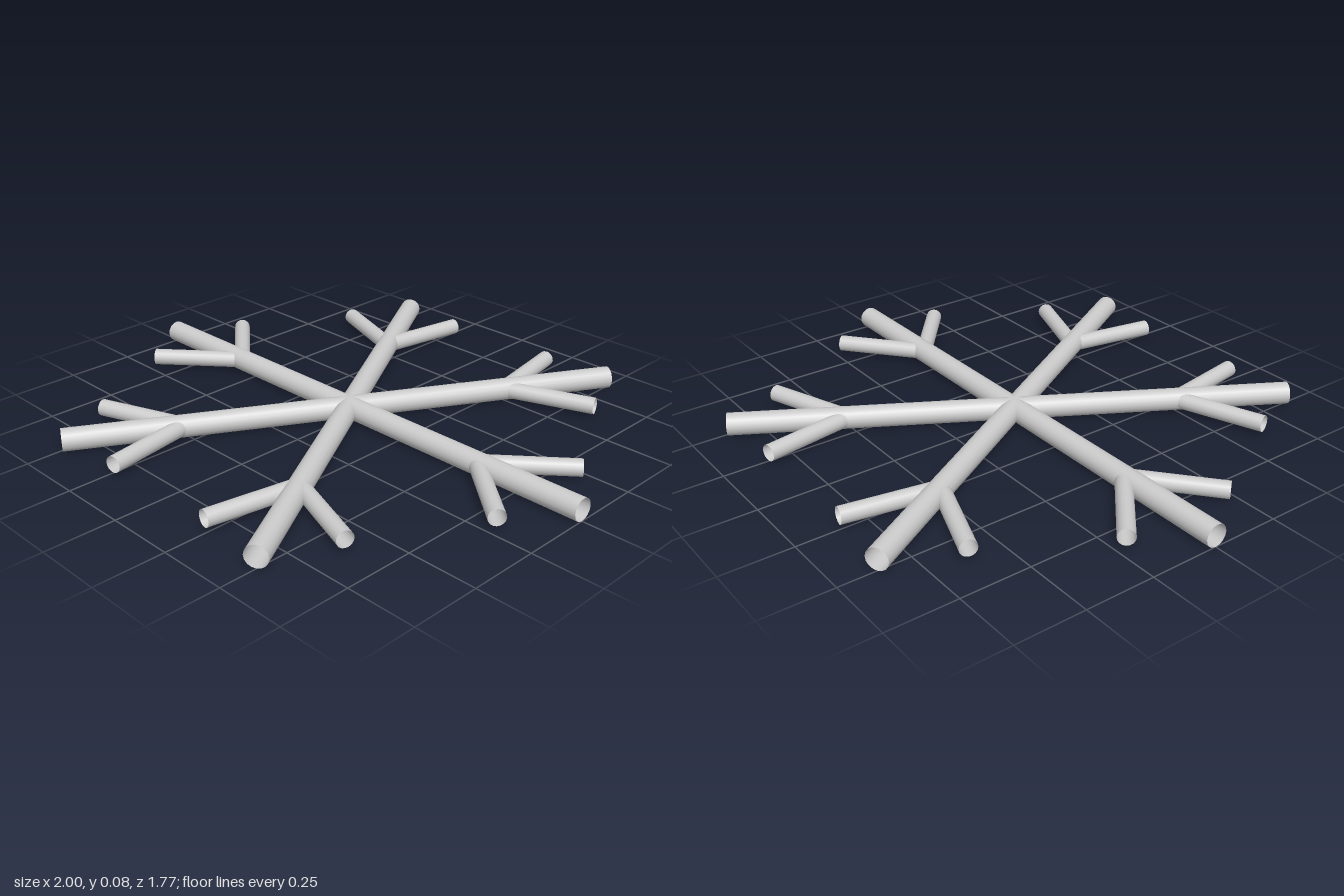
import * as THREE from 'three';

export function createModel() {
  const model = new THREE.Group();
  model.name = 'snowflake';
  const grey = new THREE.MeshStandardMaterial({ color: 0xcccccc, side: THREE.DoubleSide });
  grey.name = 'light grey';

  // Open tube lying along +x, starting at the origin
  const tube = (radius, length) =>
    new THREE.CylinderGeometry(radius, radius, length, 16, 1, true)
      .rotateZ(-Math.PI / 2)
      .translate(length / 2, 0, 0);
  const armGeometry = tube(0.04, 1);
  const branchGeometry = tube(0.03, 0.34);

  // Six arms, each with a pair of side branches
  for (let i = 0; i < 6; i++) {
    const arm = new THREE.Group();
    arm.name = 'arm' + (i + 1);
    arm.position.y = 0.04;
    arm.rotation.y = (i * Math.PI) / 3;

    const shaft = new THREE.Mesh(armGeometry, grey);
    shaft.name = 'shaft';
    arm.add(shaft);

    for (const side of [-1, 1]) {
      const branch = new THREE.Mesh(branchGeometry, grey);
      branch.name = side > 0 ? 'leftBranch' : 'rightBranch';
      branch.position.x = 0.586;
      branch.rotation.y = side * THREE.MathUtils.degToRad(40);
      arm.add(branch);
    }
    model.add(arm);
  }
  return model;
}
